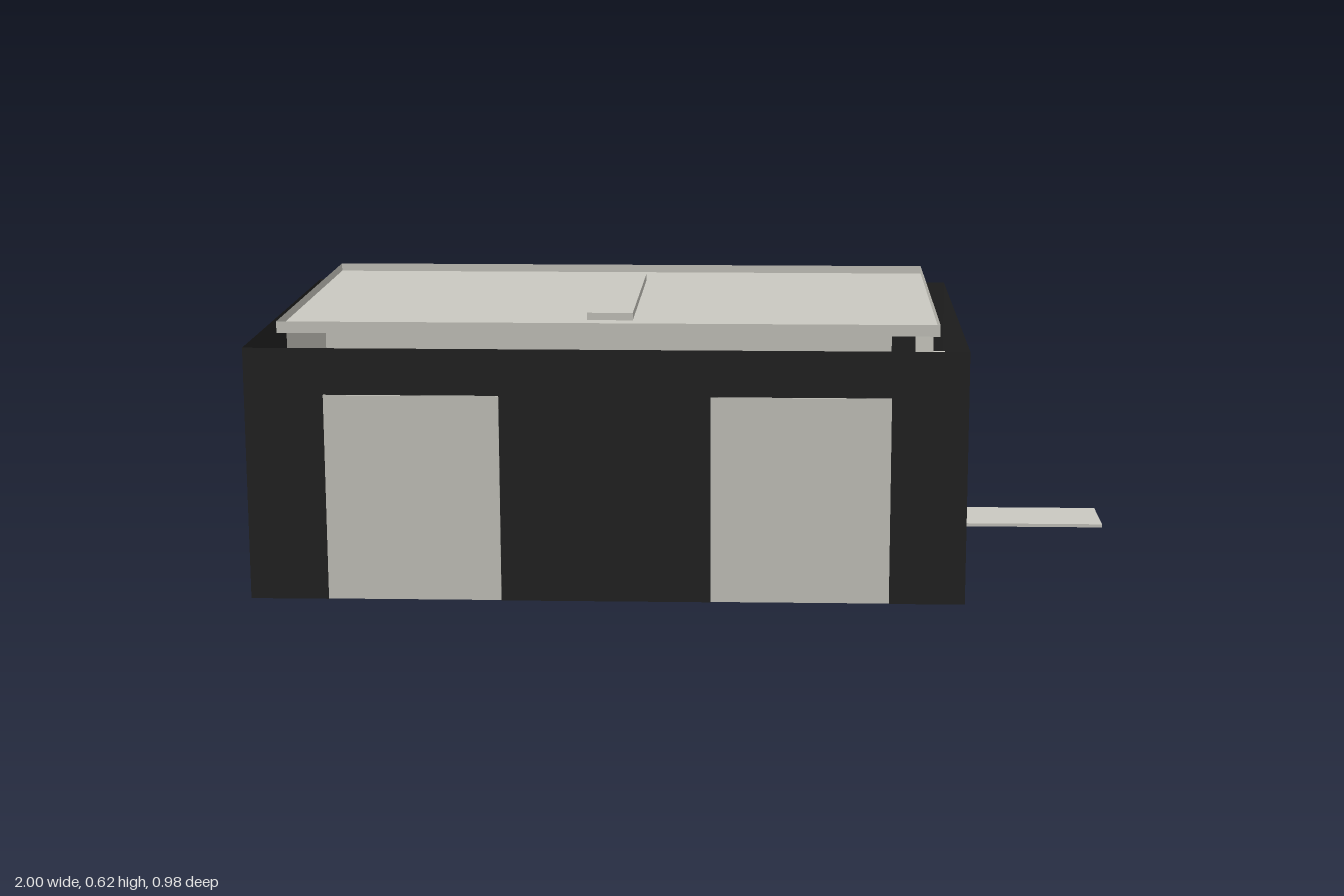
import * as THREE from 'three';

export function createModel() {
  const model = new THREE.Group();
  const stone = new THREE.MeshStandardMaterial({ color: 0xcac9c1, side: THREE.DoubleSide });
  stone.name = 'pale stone';
  const black = new THREE.MeshStandardMaterial({ color: 0x222222, side: THREE.DoubleSide });
  black.name = 'charcoal';

  const add = (name, geometry, material) => {
    const mesh = new THREE.Mesh(geometry, material);
    mesh.name = name;
    model.add(mesh);
    return mesh;
  };
  // Box given by its lower and upper corners
  const box = (name, x0, x1, y0, y1, z0, z1) =>
    add(name, new THREE.BoxGeometry(x1 - x0, y1 - y0, z1 - z0), stone)
      .position.set((x0 + x1) / 2, (y0 + y1) / 2, (z0 + z1) / 2);
  // Thin upright sheet from a to b, with notches [start, end, height] at its foot
  const sheet = (name, material, a, b, y0, y1, notches = []) => {
    const s = new THREE.Shape();
    s.moveTo(a, y0);
    for (const [n0, n1, h] of notches) {
      s.lineTo(n0, y0);
      s.lineTo(n0, h);
      s.lineTo(n1, h);
      s.lineTo(n1, y0);
    }
    s.lineTo(b, y0);
    s.lineTo(b, y1);
    s.lineTo(a, y1);
    return add(name, new THREE.ShapeGeometry(s), material);
  };
  // Sheets across z (facing front or back) and across x (facing the sides)
  const sheetAtZ = (name, mat, z, a, b, y0, y1, notches) => {
    sheet(name, mat, a, b, y0, y1, notches).position.z = z;
  };
  const sheetAtX = (name, mat, x, a, b, y0, y1, notches) => {
    const m = sheet(name, mat, a, b, y0, y1, notches);
    m.rotation.y = -Math.PI / 2; // shape x becomes world z
    m.position.x = x;
  };

  const H = 0.575, doorH = 0.47, entryH = 0.415;
  const frontDoors = [[-0.82, -0.43], [0.04, 0.44]];
  const sideDoors = [[-0.385, -0.15], [0.14, 0.375]];
  const entry = [-0.385, -0.217];

  // Outer black shell, open at top and bottom
  const cut = (doors) => doors.map(([a, b]) => [a, b, doorH]);
  sheetAtZ('frontWall', black, 0.486, -0.997, 0.61, 0, H, cut(frontDoors));
  sheetAtZ('backWall', black, -0.487, -0.997, 0.61, 0, H);
  sheetAtX('leftEndWall', black, -0.997, -0.487, 0.486, 0, H, cut(sideDoors));
  sheetAtX('entryWall', black, 0.61, -0.487, 0.486, 0, H, [[...entry, entryH]]);

  // Door blocks filling the openings
  for (const [a, b] of frontDoors) box('frontDoor', a, b, 0.002, doorH, 0.43, 0.49);
  for (const [a, b] of sideDoors) box('sideDoor', -1, -0.92, 0.002, doorH, a, b);

  // Inner walls, stopping short of the corners
  sheetAtZ('innerFrontWall', stone, 0.428, -0.82, 0.44, 0.005, 0.6);
  sheetAtZ('innerBackWall', stone, -0.437, -0.82, 0.44, 0.005, 0.6);
  sheetAtX('innerLeftWall', stone, -0.918, -0.385, 0.378, 0.005, 0.6);
  sheetAtX('innerEntryWall', stone, 0.535, -0.385, 0.378, 0.005, 0.6);

  // Recessed entry: jambs, lintel and threshold plank
  for (const z of entry) sheetAtZ('entryJamb', stone, z, 0.535, 0.61, 0, entryH);
  const lintel = add('entryLintel', new THREE.PlaneGeometry(0.075, entry[1] - entry[0]), stone);
  lintel.rotation.x = Math.PI / 2;
  lintel.position.set(0.5725, entryH, (entry[0] + entry[1]) / 2);
  box('entryPlank', 0.535, 1, 0, 0.008, ...entry);

  // Floor slab
  box('floor', -0.915, 0.535, 0.002, 0.01, -0.443, 0.43);

  // Roof tray: deck with a thin upstanding rim, and a raised strip
  box('roofDeck', -0.93, 0.547, 0.599, 0.606, -0.433, 0.432);
  for (const z of [-0.433, 0.432]) sheetAtZ('roofRim', stone, z, -0.93, 0.547, 0.599, 0.625);
  for (const x of [-0.93, 0.547]) sheetAtX('roofRim', stone, x, -0.433, 0.432, 0.599, 0.625);
  box('roofStrip', -0.247, -0.143, 0.606, 0.623, -0.29, 0.283);

  return model;
}
